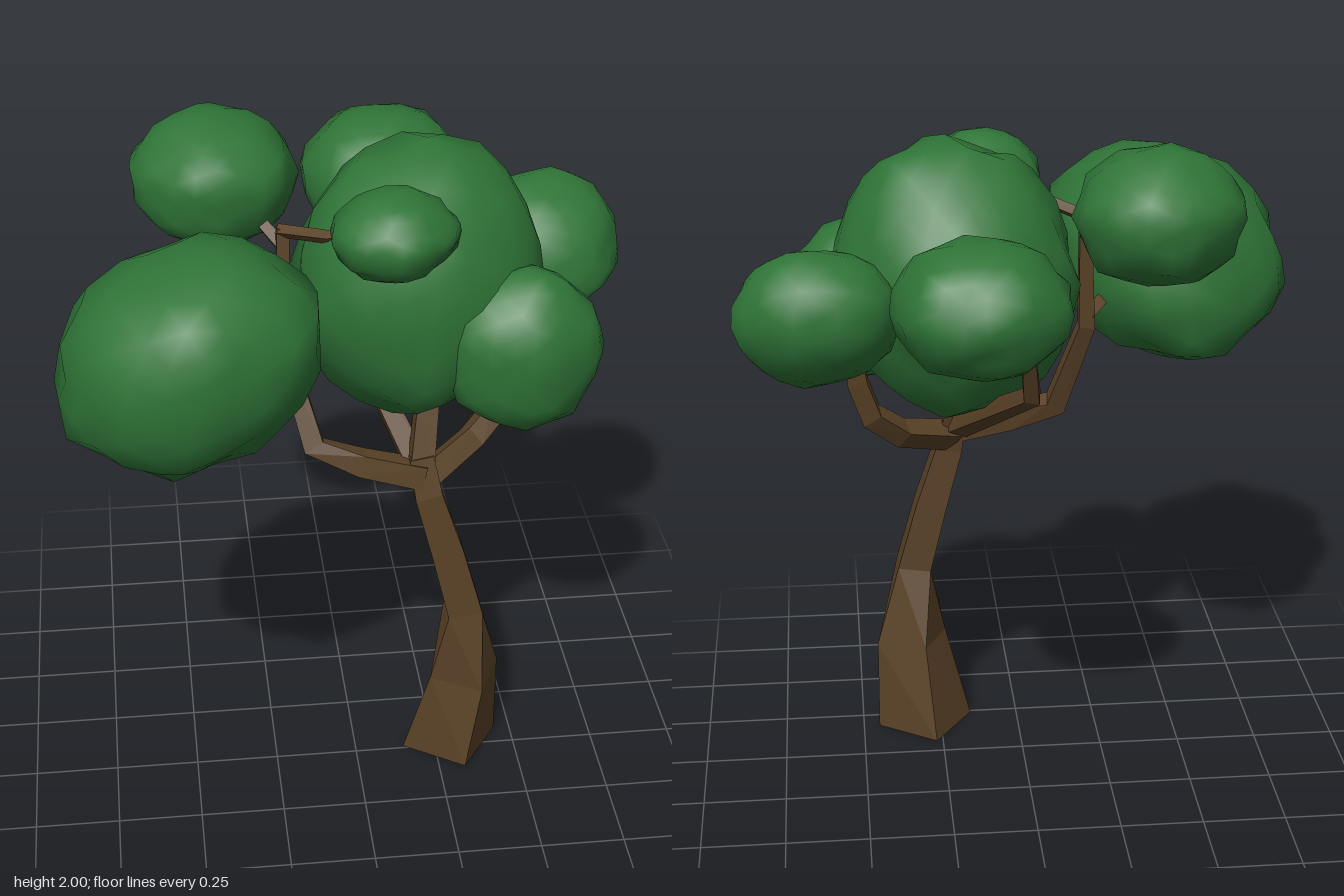
import * as THREE from 'three';
import { mergeVertices } from 'three/addons/utils/BufferGeometryUtils.js';

const bark = new THREE.MeshStandardMaterial({ color: 0x5a4227, flatShading: true });
const leaf = new THREE.MeshStandardMaterial({ color: 0x2f7437 });
const UP = new THREE.Vector3(0, 1, 0);

// Square-section limb swept through rows of [x, y, z, corner radius, corner angle]
function limb(rows, level = false) {
  const pts = rows.map(r => new THREE.Vector3(r[0], r[1], r[2]));
  const pos = [], idx = [], last = rows.length - 1;
  pts.forEach((p, i) => {
    const t = pts[Math.min(i + 1, last)].clone().sub(pts[Math.max(i - 1, 0)]).normalize();
    const q = new THREE.Quaternion();
    if (!(level && i === 0)) q.setFromUnitVectors(UP, t);
    const [, , , radius, angle = -Math.PI / 4] = rows[i];
    for (let k = 0; k < 4; k++) {
      const a = k * Math.PI / 2 + angle;
      const v = new THREE.Vector3(Math.cos(a), 0, Math.sin(a))
        .multiplyScalar(radius).applyQuaternion(q).add(p);
      pos.push(v.x, v.y, v.z);
      if (i < last) {
        const b = i * 4 + k, c = i * 4 + (k + 1) % 4;
        idx.push(b, b + 4, c + 4, b, c + 4, c);
      }
    }
  });
  const e = last * 4;
  idx.push(0, 1, 2, 0, 2, 3, e, e + 2, e + 1, e, e + 3, e + 2);
  const g = new THREE.BufferGeometry();
  g.setAttribute('position', new THREE.Float32BufferAttribute(pos, 3));
  g.setIndex(idx);
  const flat = g.toNonIndexed();
  flat.computeVertexNormals();
  return flat;
}

// Lumpy leaf clump: jittered icosphere leaning in x and z,
// fitted to the given centre and radii
function clump([cx, cy, cz], radii, [leanX, leanZ], seed) {
  let s = seed * 7919;
  const rand = () => (s = (s * 16807) % 2147483647) / 2147483647;
  for (let i = 0; i < 5; i++) rand();
  let g = new THREE.IcosahedronGeometry(1, 3);
  g.deleteAttribute('normal');
  g.deleteAttribute('uv');
  g = mergeVertices(g, 1e-3);
  const p = g.attributes.position, v = new THREE.Vector3();
  for (let i = 0; i < p.count; i++) {
    v.fromBufferAttribute(p, i);
    const wave = Math.sin(7 * v.x + seed) + Math.sin(7 * v.y + 2 * seed) + Math.sin(7 * v.z + 3 * seed);
    v.multiplyScalar(1 + 0.015 * wave + 0.1 * (rand() - 0.5));
    p.setXYZ(i, v.x + leanX * v.y, v.y, v.z + leanZ * v.y);
  }
  g.center();
  g.computeBoundingBox();
  const b = g.boundingBox.max;
  g.scale(radii[0] / b.x, radii[1] / b.y, radii[2] / b.z);
  g.translate(cx, cy, cz);
  g.computeVertexNormals();
  return g;
}

export function createModel() {
  const tree = new THREE.Group();
  tree.name = 'tree';
  const add = (name, geometry, material) => {
    const m = new THREE.Mesh(geometry, material);
    m.name = name;
    tree.add(m);
  };

  // Leaning trunk that twists as it rises from a flared foot
  add('trunk', limb([
    [0.30, 0, 0.21, 0.153, -0.2], [0.337, 0.29, 0.237, 0.118, -0.35], [0.325, 0.54, 0.255, 0.073],
    [0.27, 0.75, 0.25, 0.067], [0.21, 0.95, 0.245, 0.057], [0.19, 1.07, 0.225, 0.05],
  ], true), bark);

  // Main branches and the twigs that reach each clump
  const branches = {
    leftBranch: [[0.2, 1.01, 0.24, 0.052], [0.02, 1.05, 0.22, 0.048], [-0.12, 1.1, 0.19, 0.044], [-0.2, 1.39, 0.08, 0.034], [-0.19, 1.74, 0.05, 0.025]],
    largeClumpTwig: [[-0.2, 1.42, 0.07, 0.027], [-0.28, 1.47, 0.16, 0.024], [-0.42, 1.5, 0.3, 0.02]],
    topLeftTwig: [[-0.19, 1.68, 0.05, 0.024], [-0.32, 1.78, -0.13, 0.018]],
    smallClumpTwig: [[-0.2, 1.73, 0.05, 0.021], [-0.07, 1.76, 0.17, 0.02], [0.08, 1.81, 0.27, 0.015]],
    rightBranch: [[0.2, 0.99, 0.23, 0.05], [0.36, 1.05, 0.11, 0.046], [0.45, 1.13, 0.055, 0.044], [0.49, 1.25, 0.035, 0.042], [0.51, 1.42, 0.01, 0.03]],
    backBranch: [[0.18, 1.03, 0.21, 0.046], [0.0, 1.31, -0.3, 0.033], [0.02, 1.47, -0.38, 0.028], [0.12, 1.6, -0.48, 0.02]],
    centreBranch: [[0.19, 1.03, 0.23, 0.05], [0.215, 1.24, 0.17, 0.044], [0.22, 1.5, 0.08, 0.03]],
    frontRightTwig: [[0.215, 1.25, 0.17, 0.03], [0.44, 1.4, 0.25, 0.02]],
  };
  for (const [name, rows] of Object.entries(branches)) add(name, limb(rows), bark);

  // Leaf clumps: centre, radii, lean
  const clumps = {
    centreLeaves: [[0.2, 1.56, 0.03], [0.365, 0.43, 0.335], [0.06, 0]],
    largeLeftLeaves: [[-0.487, 1.52, 0.372], [0.363, 0.34, 0.373], [0.18, 0.12]],
    topLeftLeaves: [[-0.365, 1.805, -0.19], [0.245, 0.195, 0.247], [0, 0]],
    backLeaves: [[0.16, 1.645, -0.52], [0.247, 0.197, 0.237], [0, -0.08]],
    rightLeaves: [[0.605, 1.53, -0.205], [0.235, 0.212, 0.207], [0, -0.2]],
    frontRightLeaves: [[0.475, 1.435, 0.265], [0.23, 0.252, 0.18], [0, 0]],
    smallFrontLeaves: [[0.1, 1.815, 0.283], [0.18, 0.13, 0.172], [0.05, 0]],
  };
  Object.entries(clumps).forEach(([name, [c, r, lean]], i) => add(name, clump(c, r, lean, i + 1), leaf));
  return tree;
}
